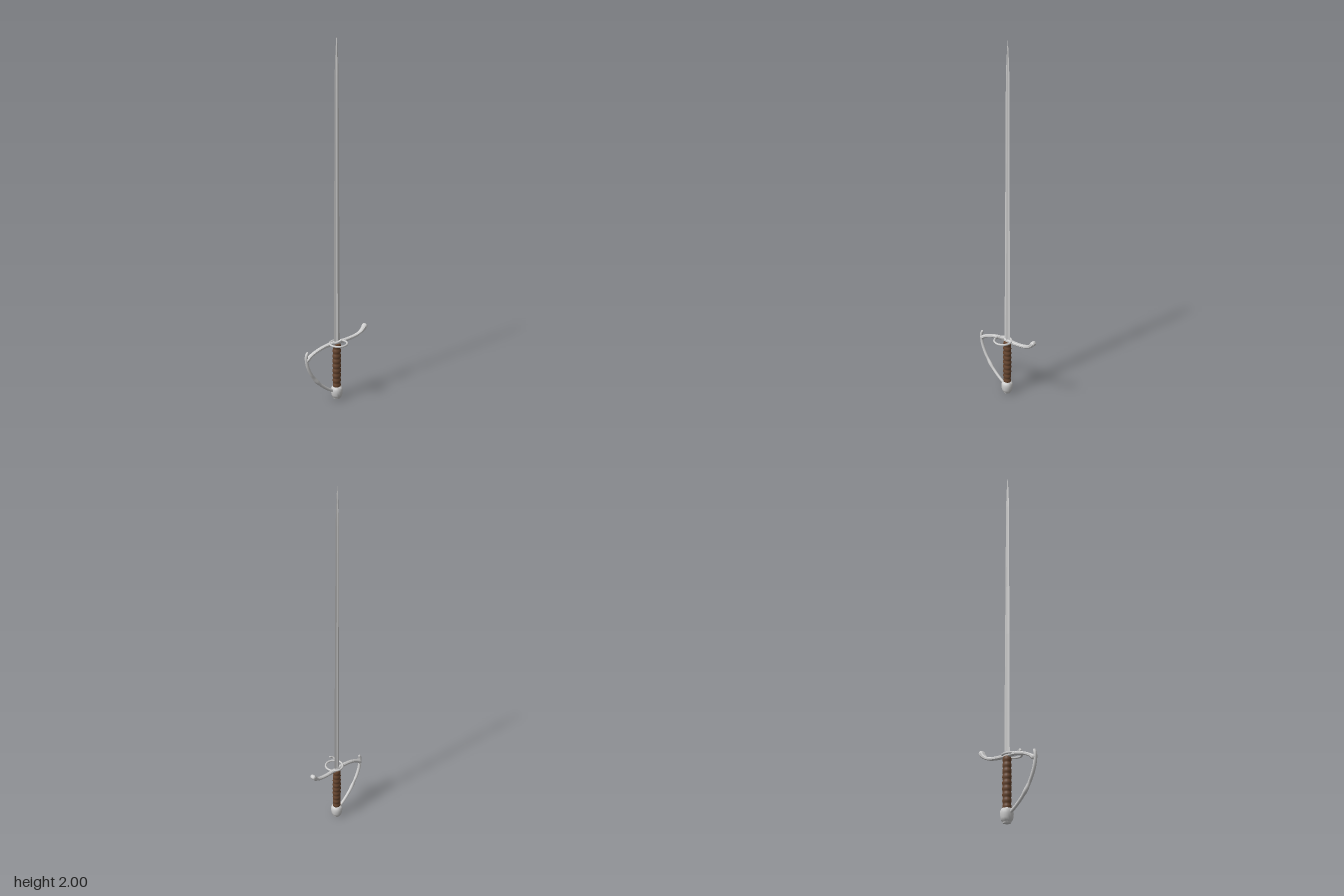
import * as THREE from 'three';
import { toCreasedNormals } from 'three/addons/utils/BufferGeometryUtils.js';

const AX = 0.003, AZ = -0.025; // axis of blade and grip

const metal = new THREE.MeshStandardMaterial({ color: 0xcccccc });
const facetedMetal = new THREE.MeshStandardMaterial({ color: 0xcccccc, flatShading: true });
const leather = new THREE.MeshStandardMaterial({ color: 0x66452f });

const v2 = ([x, y]) => new THREE.Vector2(x, y);
const v3 = ([x, y, z]) => new THREE.Vector3(x, y, z);

// Anticlockwise unit cross-sections
const octagon = Array.from({ length: 10 }, (_, j) => [Math.cos(j * Math.PI / 5), Math.sin(j * Math.PI / 5)]);
const chamferedBox = [[1, -0.6], [1, 0.6], [0.5, 1], [-0.5, 1], [-1, 0.6], [-1, -0.6], [-0.5, -1], [0.5, -1]];
const hollowDiamond = [[1, 0], [0.4, 0.4], [0, 1], [-0.4, 0.4], [-1, 0], [-0.4, -0.4], [0, -1], [0.4, -0.4]];

// Skin between equal-sized rings, anticlockwise about the direction of travel, with closed ends
function loft(rings) {
  const n = rings[0].length, last = rings.length - 1, pos = [], idx = [];
  rings.forEach(r => r.forEach(p => pos.push(p.x, p.y, p.z)));
  for (let i = 0; i < last; i++)
    for (let j = 0; j < n; j++) {
      const a = i * n + j, b = i * n + (j + 1) % n;
      idx.push(a, b, a + n, b, b + n, a + n);
    }
  [0, last].forEach(i => {
    const c = pos.length / 3, mid = new THREE.Vector3();
    rings[i].forEach(p => mid.addScaledVector(p, 1 / n));
    pos.push(mid.x, mid.y, mid.z);
    for (let j = 0; j < n; j++) {
      const a = i * n + j, b = i * n + (j + 1) % n;
      if (i === 0) idx.push(c, b, a); else idx.push(c, a, b);
    }
  });
  const g = new THREE.BufferGeometry();
  g.setAttribute('position', new THREE.Float32BufferAttribute(pos, 3));
  g.setIndex(idx);
  g.computeVertexNormals();
  return g;
}

// Bar bent in the XY plane; each station is [x, y, half thickness, half depth]
function bentBar(stations, steps, section) {
  const path = new THREE.CatmullRomCurve3(stations.map(s => v3([s[0], s[1], 0])));
  const size = new THREE.CatmullRomCurve3(stations.map(s => v3([s[2], s[3], 0])));
  const rings = [];
  for (let i = 0; i <= steps; i++) {
    const p = path.getPoint(i / steps), t = path.getTangent(i / steps), s = size.getPoint(i / steps);
    rings.push(section.map(([u, w]) =>
      new THREE.Vector3(p.x + t.y * u * s.x, p.y - t.x * u * s.x, AZ - w * s.y)));
  }
  return loft(rings);
}

export function createModel() {
  const model = new THREE.Group();
  const add = (name, geometry, material, x = 0, y = 0, z = 0) => {
    const mesh = new THREE.Mesh(geometry, material);
    mesh.name = name;
    mesh.position.set(x, y, z);
    model.add(mesh);
    return mesh;
  };

  // Hollow-ground blade: [height, half width, half thickness]
  add('blade', loft([
    [0.33, 0.0205, 0.01], [1.0, 0.017, 0.0085], [1.8, 0.0125, 0.007],
    [1.88, 0.0095, 0.006], [1.95, 0.005, 0.0045], [2.0, 0.0004, 0.0004],
  ].map(([y, w, t]) => hollowDiamond.map(([u, v]) => new THREE.Vector3(u * w, y, -v * t)))),
  facetedMetal, AX, 0, AZ);

  // Ribbed leather grip
  const ribs = 9, y0 = 0.065, y1 = 0.331, gripProfile = [[0, y0]];
  for (let i = 0; i <= ribs * 6; i++) {
    const t = i / (ribs * 6);
    const swell = 0.0195 + 0.002 * Math.sin(Math.PI * t);
    gripProfile.push([swell + 0.004 * Math.abs(Math.sin(Math.PI * ribs * t)), y0 + (y1 - y0) * t]);
  }
  gripProfile.push([0, y1]);
  const grip = add('grip', new THREE.LatheGeometry(gripProfile.map(v2), 20), leather, AX, 0, AZ);
  grip.scale.z = 0.88;

  // Squat pommel with a flat base
  const pommel = new THREE.LatheGeometry([
    [0, 0], [0.02, 0], [0.022, 0.008], [0.027, 0.012], [0.031, 0.025], [0.0335, 0.045],
    [0.0325, 0.058], [0.029, 0.067], [0.022, 0.073], [0, 0.074],
  ].map(v2), 20);
  add('pommel', toCreasedNormals(pommel, 0.75), metal, AX, 0, AZ);

  // Curved crossguard with chamfered edges and swollen ends
  add('crossguard', toCreasedNormals(bentBar([
    [-0.2, 0.273, 0.004, 0.008], [-0.19, 0.285, 0.011, 0.016], [-0.165, 0.302, 0.008, 0.011],
    [-0.11, 0.324, 0.008, 0.0105], [-0.05, 0.335, 0.009, 0.0105], [0.0, 0.337, 0.01, 0.0105],
    [0.06, 0.338, 0.009, 0.0105], [0.12, 0.345, 0.008, 0.0105], [0.16, 0.357, 0.008, 0.011],
    [0.184, 0.374, 0.011, 0.0145], [0.196, 0.39, 0.0125, 0.016], [0.2, 0.399, 0.009, 0.012],
    [0.202, 0.403, 0.002, 0.003],
  ], 60, chamferedBox), 0.6), metal);

  // Knuckle bow from pommel to guard, ending in a small curl
  add('knuckleBow', bentBar([
    [-0.018, 0.048, 0.008, 0.008], [-0.06, 0.073, 0.0085, 0.0085], [-0.115, 0.119, 0.009, 0.009],
    [-0.162, 0.178, 0.009, 0.009], [-0.19, 0.236, 0.009, 0.0095], [-0.199, 0.282, 0.0095, 0.0095],
    [-0.198, 0.308, 0.009, 0.009], [-0.192, 0.323, 0.007, 0.007], [-0.189, 0.328, 0.002, 0.002],
  ], 40, octagon), metal);

  // Side ring lying around the blade root
  const ring = add('guardRing', new THREE.TorusGeometry(0.049, 0.006, 8, 18), metal, -0.005, 0.342, 0.002);
  ring.rotation.x = Math.PI / 2;

  // Thumb hook rising out of the guard
  const hookPoints = [
    [-0.016, 0.338, -0.022], [-0.027, 0.348, 0.0], [-0.035, 0.36, 0.024],
    [-0.031, 0.37, 0.037], [-0.016, 0.377, 0.043],
  ].map(v3);
  add('thumbHook', new THREE.TubeGeometry(new THREE.CatmullRomCurve3(hookPoints), 20, 0.006, 8), metal);
  add('thumbHookTip', new THREE.SphereGeometry(0.006, 8, 6), metal, -0.016, 0.377, 0.043);

  return model;
}
